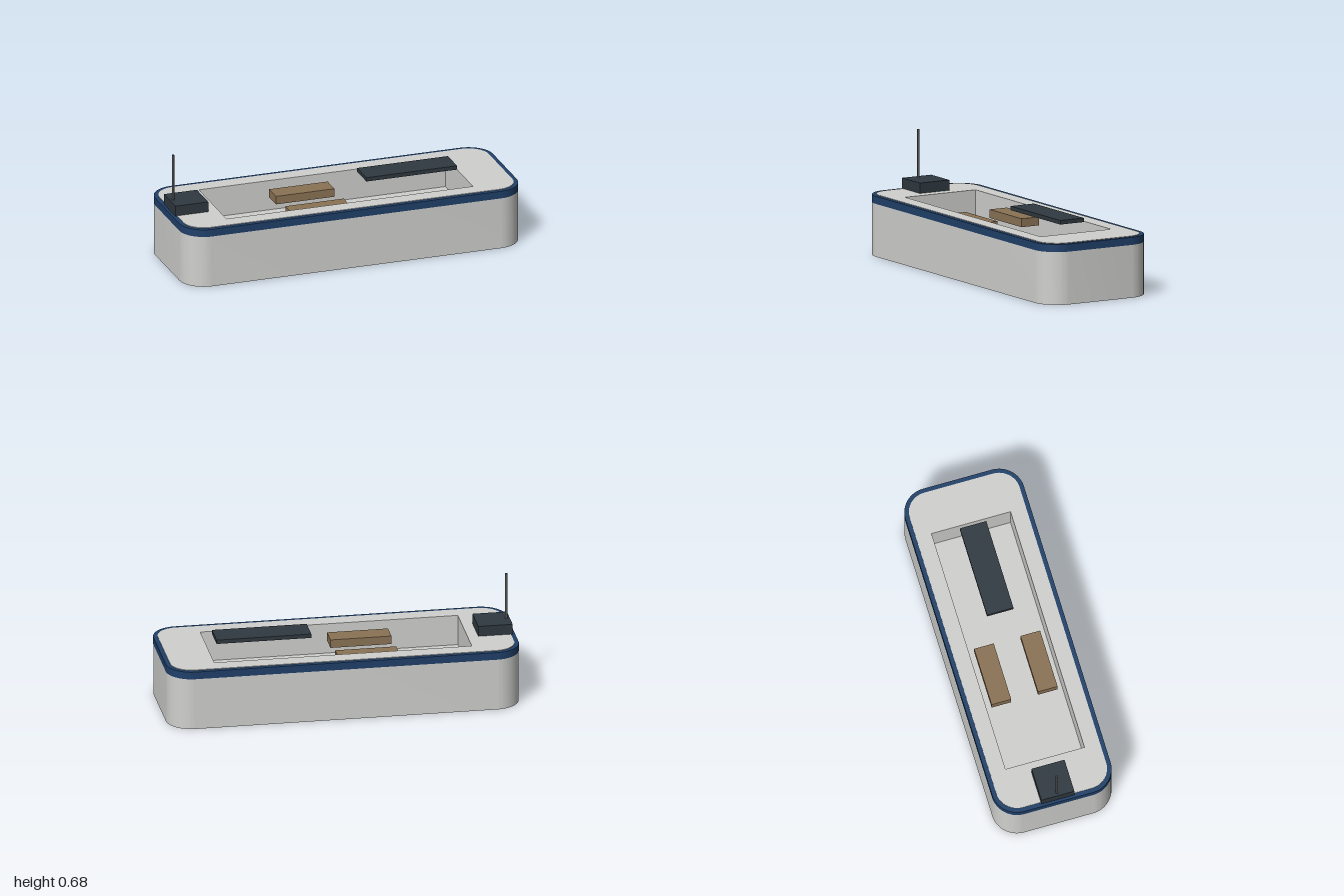
import * as THREE from 'three';
import { toCreasedNormals } from 'three/addons/utils/BufferGeometryUtils.js';

const paint = (name, color) => {
  const m = new THREE.MeshStandardMaterial({ color });
  m.name = name;
  return m;
};

// Rounded rectangle, shrunk by an inset on every side
function outline(Type, inset) {
  const a = 1 - inset, b = 0.345 - inset, r = 0.145 - inset;
  const s = new Type();
  s.moveTo(-a + r, -b);
  s.lineTo(a - r, -b);
  s.absarc(a - r, -b + r, r, -Math.PI / 2, 0);
  s.lineTo(a, b - r);
  s.absarc(a - r, b - r, r, 0, Math.PI / 2);
  s.lineTo(-a + r, b);
  s.absarc(-a + r, b - r, r, Math.PI / 2, Math.PI);
  s.lineTo(-a, -b + r);
  s.absarc(-a + r, -b + r, r, Math.PI, Math.PI * 1.5);
  return s;
}

// Rectangular cockpit opening
function cockpit() {
  const p = new THREE.Path();
  p.moveTo(-0.73, -0.23);
  p.lineTo(-0.73, 0.23);
  p.lineTo(0.73, 0.23);
  p.lineTo(0.73, -0.23);
  p.closePath();
  return p;
}

// Horizontal slab between two heights, with one opening
function slab(shape, hole, y0, y1) {
  shape.holes.push(hole);
  const g = new THREE.ExtrudeGeometry(shape, { depth: y1 - y0, bevelEnabled: false, curveSegments: 14 });
  g.rotateX(-Math.PI / 2);
  g.translate(0, y0, 0);
  return toCreasedNormals(g, 0.6);
}

export function createModel() {
  const boat = new THREE.Group();
  boat.name = 'boat';
  const hullGrey = paint('hull grey', 0xd0d0ce);
  const navy = paint('navy', 0x20406a);
  const tan = paint('tan', 0x8b7355);
  const charcoal = paint('charcoal', 0x2f3940);
  const steel = paint('dark steel', 0x555555);

  const add = (name, geometry, material) => {
    const mesh = new THREE.Mesh(geometry, material);
    mesh.name = name;
    boat.add(mesh);
    return mesh;
  };
  const box = (name, material, [x0, x1], [y0, y1], [z0, z1]) =>
    add(name, new THREE.BoxGeometry(x1 - x0, y1 - y0, z1 - z0), material)
      .position.set((x0 + x1) / 2, (y0 + y1) / 2, (z0 + z1) / 2);

  // Hull walls, cockpit floor and raised deck
  add('hull', slab(outline(THREE.Shape, 0.001), cockpit(), 0, 0.302), hullGrey);
  box('cockpitFloor', hullGrey, [-0.73, 0.73], [0, 0.17], [-0.23, 0.23]);
  add('deck', slab(outline(THREE.Shape, 0.025), cockpit(), 0.302, 0.346), hullGrey);

  // Rub rail around the top edge
  add('rubRail', slab(outline(THREE.Shape, 0), outline(THREE.Path, 0.025), 0.30, 0.343), navy);

  // Pair of seats
  for (const side of [-1, 1]) {
    box(side > 0 ? 'frontSeat' : 'backSeat', tan, [-0.328, 0.018], [0.262, 0.31],
      [side * 0.135 - 0.057, side * 0.135 + 0.057]);
  }

  // Console panel, stern box and mast
  box('consolePanel', charcoal, [0.153, 0.69], [0.394, 0.417], [-0.077, 0.077]);
  box('sternBox', charcoal, [-0.985, -0.79], [0.344, 0.405], [-0.096, 0.096]);
  const mast = add('mast', new THREE.CylinderGeometry(0.007, 0.007, 0.275, 10), steel);
  mast.position.set(-0.965, 0.5375, 0);

  return boat;
}
